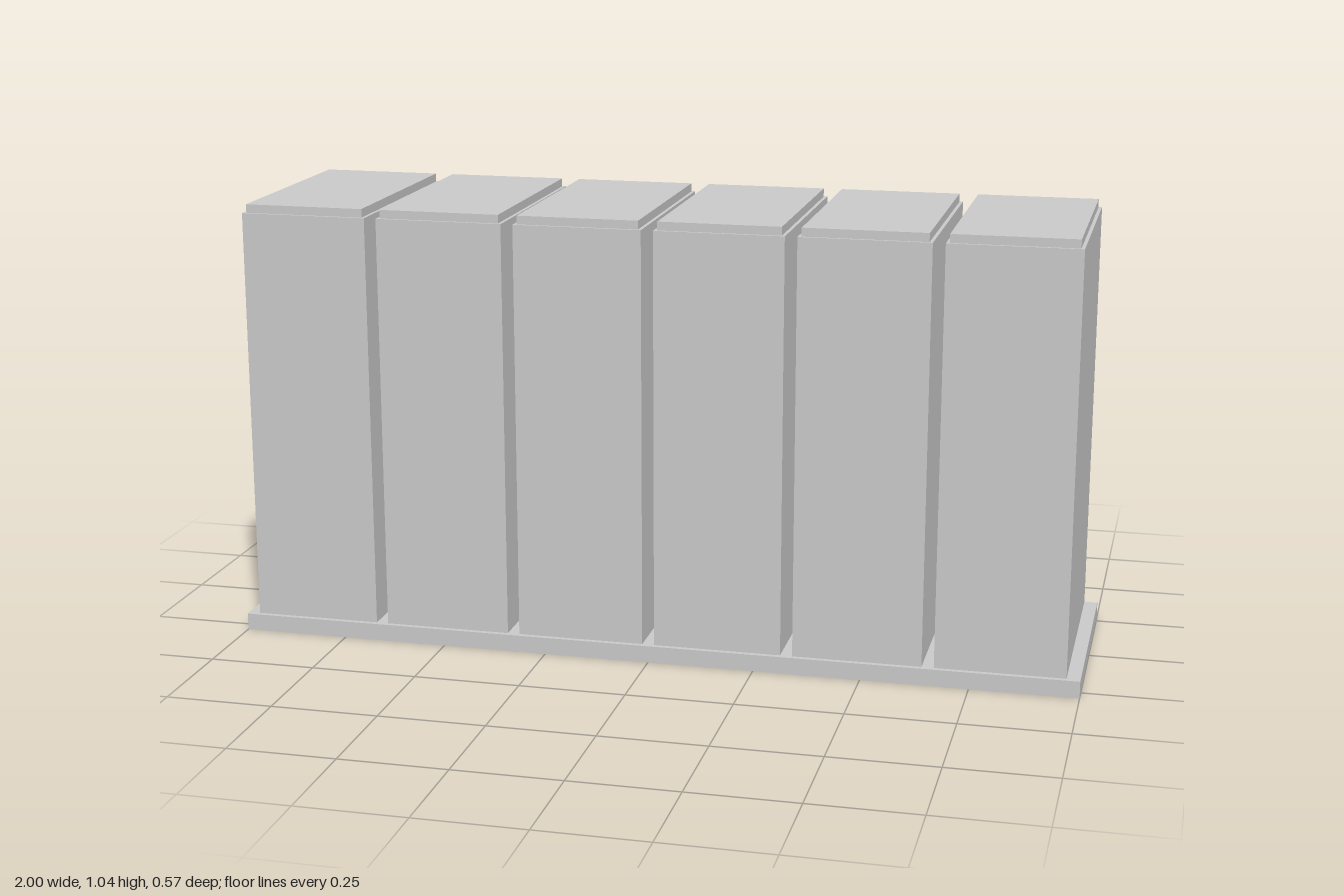
import * as THREE from 'three';

const material = new THREE.MeshStandardMaterial({ color: 0xcccccc, flatShading: true });

// Box given by its lower and upper limits on each axis
function box(name, [x0, x1], [y0, y1], [z0, z1]) {
  const mesh = new THREE.Mesh(new THREE.BoxGeometry(x1 - x0, y1 - y0, z1 - z0), material);
  mesh.position.set((x0 + x1) / 2, (y0 + y1) / 2, (z0 + z1) / 2);
  mesh.name = name;
  return mesh;
}

const DOOR_Z = -0.271;

// One locker, centred on x = 0, with its door towards -z
function createLocker() {
  const locker = new THREE.Group();
  locker.add(box('cabinet', [-0.15, 0.15], [0.04, 1.022], [DOOR_Z, 0.274]));
  locker.add(box('topCap', [-0.142, 0.142], [1.022, 1.042], [-0.265, 0.267]));
  locker.add(box('handle', [-0.125, -0.107], [0.479, 0.614], [-0.286, DOOR_Z]));

  // Upper and lower sets of three vent slats
  for (const top of [0.866, 0.423]) {
    for (let i = 0; i < 3; i++) {
      const y = top - i * 0.048;
      locker.add(box('ventSlat', [-0.098, 0.097], [y - 0.018, y], [-0.279, DOOR_Z]));
    }
  }
  return locker;
}

export function createModel() {
  const model = new THREE.Group();
  model.name = 'lockerRow';

  // Shared plinth, flush with the doors
  model.add(box('base', [-1, 1], [0, 0.04], [DOOR_Z, 0.286]));

  // Row of six lockers
  for (let i = 0; i < 6; i++) {
    const locker = createLocker();
    locker.name = `locker${i + 1}`;
    locker.position.x = -0.823 + i * 0.3283;
    model.add(locker);
  }
  return model;
}
